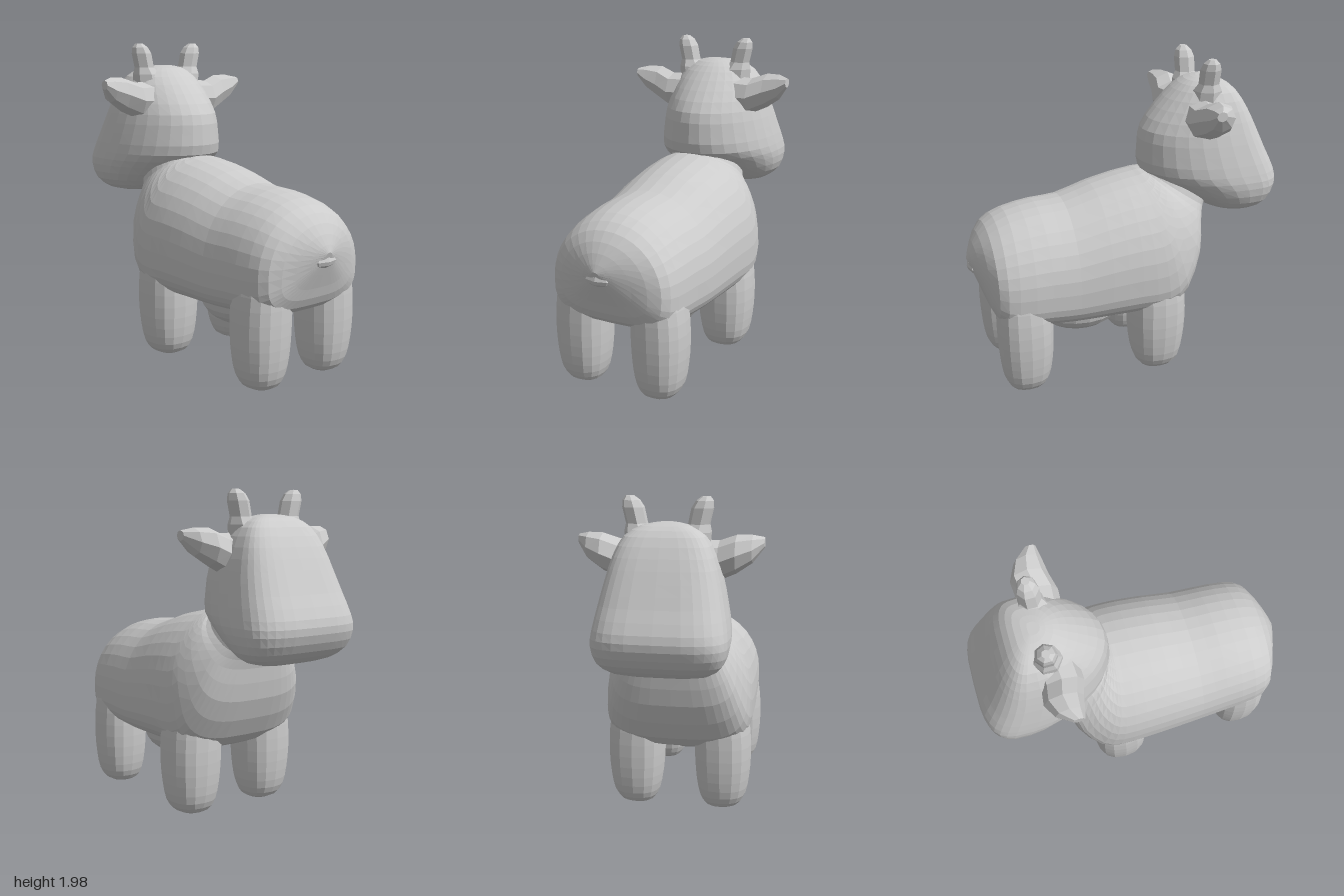
import * as THREE from 'three';

const material = new THREE.MeshStandardMaterial({ color: 0xcccccc, flatShading: true, side: THREE.DoubleSide });

// Catmull-Rom blend of section rows, t in 0..1
function sampleRow(rows, t) {
  const f = t * (rows.length - 1), i = Math.min(Math.floor(f), rows.length - 2), u = f - i;
  const at = k => rows[Math.max(0, Math.min(rows.length - 1, k))];
  return rows[i].map((b, k) => {
    const a = at(i - 1)[k], c = at(i + 1)[k], d = at(i + 2)[k];
    return b + 0.5 * u * (c - a + u * (2 * a - 5 * b + 4 * c - d + u * (3 * (b - c) + d - a)));
  });
}

// Skin over rings. Row: [yA, zA, yB, zB, halfWidth, centreX]; A and B are opposite ends of a ring.
// centre: where the widest point sits between A and B; expA / expB: how square each half is.
function loft(rows, { sides = 28, steps = 2, centre = 0.5, expA = 2, expB = 2 } = {}) {
  const count = (rows.length - 1) * steps + 1, pos = [], index = [];
  for (let r = 0; r < count; r++) {
    const [yA, zA, yB, zB, w, cx = 0] = sampleRow(rows, r / (count - 1));
    for (let s = 0; s < sides; s++) {
      const a = (s / sides) * Math.PI * 2, c = Math.cos(a), n = Math.sin(a);
      const p = 2 / (n >= 0 ? expA : expB);
      const x = cx + w * Math.sign(c) * Math.abs(c) ** p;
      const v = Math.abs(n) ** p;
      const t = n >= 0 ? centre * (1 - v) : centre + (1 - centre) * v;
      pos.push(x, yA + (yB - yA) * t, zA + (zB - zA) * t);
    }
  }
  for (let r = 0; r < count - 1; r++) for (let s = 0; s < sides; s++) {
    const a = r * sides + s, b = r * sides + (s + 1) % sides;
    index.push(a, b, a + sides, b, b + sides, a + sides);
  }
  // End caps
  for (const r of [0, count - 1]) {
    const o = r * sides, mid = pos.length / 3;
    for (let k = 0; k < 3; k++) {
      let sum = 0;
      for (let s = 0; s < sides; s++) sum += pos[(o + s) * 3 + k];
      pos.push(sum / sides);
    }
    for (let s = 0; s < sides; s++) {
      const a = o + s, b = o + (s + 1) % sides;
      index.push(...(r ? [a, b, mid] : [b, a, mid]));
    }
  }
  // Turn the skin outward if its enclosed volume is negative
  let volume = 0;
  const P = i => new THREE.Vector3().fromArray(pos, i * 3);
  for (let i = 0; i < index.length; i += 3) volume += P(index[i]).dot(P(index[i + 1]).cross(P(index[i + 2])));
  if (volume < 0) index.reverse();
  const g = new THREE.BufferGeometry();
  g.setAttribute('position', new THREE.Float32BufferAttribute(pos, 3));
  g.setIndex(index);
  g.computeVertexNormals();
  return g;
}

export function createModel() {
  const model = new THREE.Group();
  const add = (name, geometry) => {
    const mesh = new THREE.Mesh(geometry, material);
    mesh.name = name;
    model.add(mesh);
  };

  // Body, from rump to neck; rings lean forward at the chest
  add('body', loft([
    [0.82, 0.99, 0.76, 0.97, 0.03],
    [0.92, 0.95, 0.6, 0.91, 0.2],
    [1.03, 0.87, 0.49, 0.865, 0.36],
    [1.1, 0.74, 0.43, 0.76, 0.41],
    [1.135, 0.55, 0.41, 0.55, 0.425],
    [1.145, 0.38, 0.4, 0.38, 0.435],
    [1.205, 0.18, 0.4, 0.18, 0.45],
    [1.245, 0.0, 0.4, -0.02, 0.46],
    [1.26, -0.1, 0.4, -0.22, 0.46],
    [1.265, -0.13, 0.49, -0.36, 0.44],
    [1.265, -0.15, 0.73, -0.47, 0.38],
    [1.265, -0.165, 0.93, -0.5, 0.31],
    [1.27, -0.18, 1.03, -0.53, 0.25],
    [1.36, -0.25, 1.12, -0.58, 0.22],
  ], { sides: 36, centre: 0.64, expA: 2.05, expB: 3.4 }));

  // Head: round at the back, broad and flat across the face
  add('head', loft([
    [0.99, -0.78, 0.99, -0.66, 0.14],
    [1.015, -0.86, 1.015, -0.55, 0.28],
    [1.08, -0.94, 1.08, -0.44, 0.36],
    [1.18, -0.99, 1.18, -0.28, 0.39],
    [1.27, -0.985, 1.27, -0.155, 0.385],
    [1.4, -0.925, 1.4, -0.145, 0.36],
    [1.53, -0.867, 1.53, -0.165, 0.33],
    [1.66, -0.805, 1.66, -0.26, 0.29],
    [1.77, -0.735, 1.77, -0.37, 0.23],
    [1.825, -0.665, 1.825, -0.45, 0.14],
    [1.843, -0.59, 1.843, -0.52, 0.04],
  ], { sides: 32, centre: 0.36, expA: 3.6, expB: 2 }));

  // Udder
  add('udder', new THREE.SphereGeometry(1, 20, 12).scale(0.27, 0.165, 0.29).translate(0, 0.41, 0.28));

  // Tail stub: a small wedge hanging from the rump
  add('tail', new THREE.SphereGeometry(1, 8, 6).scale(0.1, 0.045, 0.06).translate(0, 0.765, 0.93));

  for (const s of [1, -1]) {
    const side = s > 0 ? 'left' : 'right';

    // Legs: stout, rounded at the foot, blending into the flank above
    const legs = { front: [-0.345, 0.02, 0.278, 0.178], back: [0.53, 0.872, 0.262, 0.168] };
    for (const [end, [z0, z1, cx, w]] of Object.entries(legs)) {
      const mid = (z0 + z1) / 2, half = (z1 - z0) / 2;
      const ring = (y, k, inset = 0) => [y, mid - half * k, y, mid + half * k, w * k, s * (cx - inset)];
      add(`${end}Leg_${side}`, loft([
        ring(0.003, 0.3, 0.01), ring(0.025, 0.6, 0.005), ring(0.09, 0.82), ring(0.2, 0.94),
        ring(0.34, 1), ring(0.5, 1, 0.005), ring(0.65, 0.94, 0.02), ring(0.78, 0.78, 0.05),
      ], { sides: 16, expA: 2.4, expB: 2.4 }));
    }

    // Ear: built upright, then laid out sideways
    const ear = (x, y, z, h, d) => [x, z - d, x, z + d, h, -s * y];
    add(`ear_${side}`, loft([
      ear(0.18, 1.62, -0.49, 0.12, 0.13),
      ear(0.29, 1.62, -0.48, 0.115, 0.125),
      ear(0.39, 1.66, -0.5, 0.11, 0.115),
      ear(0.48, 1.69, -0.485, 0.08, 0.085),
      ear(0.545, 1.725, -0.45, 0.03, 0.035),
    ], { sides: 8, steps: 1 }).rotateZ(-s * Math.PI / 2));

    // Horn: thick stub with a flared foot
    const horn = (y, x, r) => [y, -0.53 - r, y, -0.53 + r, r, s * x];
    add(`horn_${side}`, loft([
      horn(1.72, 0.155, 0.095), horn(1.785, 0.165, 0.09), horn(1.83, 0.18, 0.065),
      horn(1.92, 0.2, 0.066), horn(1.96, 0.212, 0.052), horn(1.985, 0.22, 0.025),
    ], { sides: 7, steps: 1 }));
  }
  return model;
}
